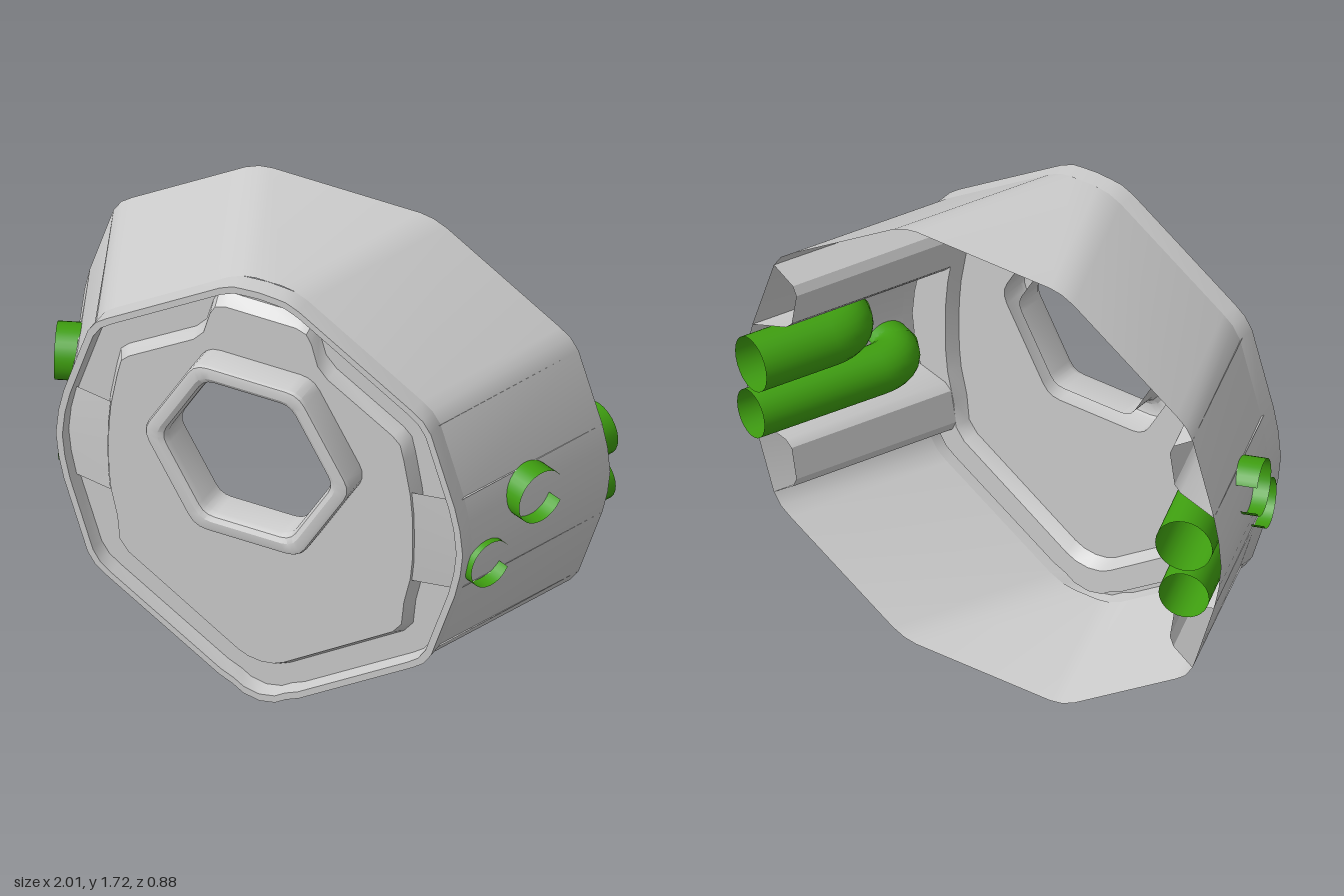
import * as THREE from 'three';
import { toCreasedNormals } from 'three/addons/utils/BufferGeometryUtils.js';

const grey = new THREE.MeshStandardMaterial({ color: 0xcccccc, side: THREE.DoubleSide });
const green = new THREE.MeshStandardMaterial({ color: 0x3f9f10, side: THREE.DoubleSide });

const BACK = -0.31, FRONT = 0.27, SLANT = 0.23, CY = 0.87;

function named(name, geometry, material = grey) {
  const mesh = new THREE.Mesh(geometry, material);
  mesh.name = name;
  return mesh;
}

// Skin through rings of [x, y, z] points
function loft(rings, closed = true, crease = 0.5) {
  const n = rings[0].length, index = [];
  for (let r = 0; r < rings.length - 1; r++) {
    for (let i = 0; i < (closed ? n : n - 1); i++) {
      const a = r * n + i, b = r * n + (i + 1) % n;
      index.push(a, b, b + n, a, b + n, a + n);
    }
  }
  const g = new THREE.BufferGeometry();
  g.setAttribute('position', new THREE.Float32BufferAttribute(rings.flat(2), 3));
  g.setIndex(index);
  return toCreasedNormals(g, crease);
}

// Right half (top to bottom) completed by its mirror image, running clockwise
const mirrored = half => [
  ...half,
  ...half.filter(p => p[0] > 0).reverse().map(([x, y]) => [-x, y]),
];
const at = (pts, z) => pts.map(([x, y]) => [x, y, z]);
const scaled = (pts, s, cy = CY) => pts.map(([x, y]) => [x * s, cy + (y - cy) * s]);
const shift = (pts, dx) => pts.map(([x, y]) => [x + dx, y]);

function flat(outer, hole, z) {
  const shape = new THREE.Shape(outer.map(p => new THREE.Vector2(...p)));
  shape.holes.push(new THREE.Path(hole.map(p => new THREE.Vector2(...p))));
  return new THREE.ShapeGeometry(shape).translate(0, 0, z);
}

// Flat-topped hexagon with softened corners
function hexagon(radius, cy) {
  const corner = k => new THREE.Vector2(Math.cos(k * Math.PI / 3), Math.sin(k * Math.PI / 3)).multiplyScalar(radius);
  const pts = [];
  for (let k = 0; k < 6; k++) {
    const c = corner(k), a = c.clone().lerp(corner(k - 1), 0.12), b = c.clone().lerp(corner(k + 1), 0.12);
    const curve = new THREE.QuadraticBezierCurve(a, c, b);
    for (const p of curve.getPoints(3)) pts.push([p.x, p.y + cy]);
  }
  return pts;
}

// Pipe lying along the slanted wall, with an elbow turned out through it
function pipe(name, y, radius, elbow, reach) {
  const group = new THREE.Group();
  group.name = name;
  const along = new THREE.Vector3(SLANT, 0, BACK - FRONT).normalize();
  const out = new THREE.Vector3(-along.z, 0, along.x);
  const corner = new THREE.Vector3(elbow[0], y, elbow[1]);
  const end = new THREE.Vector3(0.91, y, -0.4);
  const path = new THREE.CurvePath();
  const bendStart = corner.clone().addScaledVector(along, 0.12);
  const bendEnd = corner.clone().addScaledVector(out, 0.09);
  path.add(new THREE.LineCurve3(end, bendStart));
  path.add(new THREE.QuadraticBezierCurve3(bendStart, corner, bendEnd));
  group.add(named('bentPipe', new THREE.TubeGeometry(path, 40, radius, 24), green));

  // Split collar standing out of the wall, its gap towards the back
  const gap = 0.55;
  const collar = new THREE.CylinderGeometry(radius, radius, reach - 0.05, 28, 1, true, gap, 2 * Math.PI - 2 * gap);
  const basis = new THREE.Matrix4().makeBasis(new THREE.Vector3(0, 1, 0).cross(out).negate(), out, along);
  basis.makeBasis(new THREE.Vector3().crossVectors(out, along), out, along);
  basis.setPosition(corner.clone().addScaledVector(out, (reach + 0.05) / 2));
  collar.applyMatrix4(basis);
  group.add(named('splitCollar', collar, green));
  return group;
}

export function createModel() {
  const model = new THREE.Group();

  // Side wall: each half outline slides inwards towards the front
  const wall = [
    [0.28, 1.72], [0.33, 1.712], [0.38, 1.69], [0.81, 1.415], [0.85, 1.385], [0.88, 1.34],
    [0.97, 1.06], [0.99, 0.97], [1.0, 0.87], [0.99, 0.78], [0.97, 0.69],
    [0.88, 0.41], [0.85, 0.365], [0.81, 0.335], [0.38, 0.06], [0.33, 0.038], [0.28, 0.03],
  ];
  const frontWall = shift(wall, -SLANT);
  model.add(named('slantedWall', loft([at(mirrored(wall), BACK), at(mirrored(frontWall), FRONT)])));

  // Thin lip around the front
  const rim = mirrored([[0, 1.72], [0.06, 1.716], ...frontWall.slice(1, -1), [0.06, 0.012], [0, 0]]);
  const lip = scaled(rim, 0.968);
  model.add(named('frontRim', loft([at(rim, FRONT), at(rim, 0.34), at(lip, 0.34), at(scaled(lip, 0.992), 0.285)])));

  // Raised front panel with a bump at the top
  const arc = [[0.59, 1.06], [0.598, 0.97], [0.6, 0.87], [0.598, 0.77], [0.59, 0.69]];
  const panel = mirrored([
    [0, 1.64], [0.14, 1.64], [0.18, 1.625], [0.2, 1.59], [0.225, 1.5], [0.265, 1.455],
    [0.52, 1.295], [0.55, 1.265], [0.565, 1.2], ...arc,
    [0.565, 0.58], [0.555, 0.48], [0.52, 0.435], [0.09, 0.155], [0.05, 0.137], [0, 0.13],
  ]);
  const panelTop = scaled(panel, 0.96);
  const boss = hexagon(0.398, 1.075);
  model.add(named('rimChannel', flat(scaled(lip, 0.992), panel, 0.285)));
  model.add(named('panelStep', loft([at(panel, 0.285), at(panelTop, 0.33)])));
  model.add(named('frontPanel', flat(panelTop, boss, 0.33)));

  // Hexagonal boss around the opening
  const hex = s => scaled(boss, s, 1.075);
  model.add(named('hexBoss', loft([
    at(boss, 0.33), at(boss, 0.425), at(hex(0.985), 0.436), at(hex(0.95), 0.44),
    at(hex(0.87), 0.44), at(hex(0.82), 0.43), at(hex(0.795), 0.41), at(hex(0.795), 0.31),
  ])));

  // Bars, pads and pipes on each side
  for (const s of [1, -1]) {
    const side = new THREE.Group();
    side.name = s > 0 ? 'leftSide' : 'rightSide';
    const bar = [[0.88, 1.34], [0.8, 1.285], [0.785, 1.25], [0.805, 1.13], [0.83, 1.105], [0.97, 1.06]];
    const lowerBar = bar.map(([x, y]) => [x, 1.75 - y]);
    for (const [name, b] of [['upperBar', bar], ['lowerBar', lowerBar]]) {
      side.add(named(name, loft([at(b, BACK), at(shift(b, -SLANT), FRONT + 0.015)], false)));
    }
    const padOuter = frontWall.slice(6, 11).map(([x, y]) => [x - 0.025, y]);
    side.add(named('sidePad', loft([at(shift(arc, -0.02), 0.325), at(padOuter, 0.3)], false)));
    side.add(pipe('upperPipe', 0.97, 0.1, [0.76, -0.02], 0.17));
    side.add(pipe('lowerPipe', 0.768, 0.088, [0.685, 0.165], 0.14));
    side.scale.x = s;
    model.add(side);
  }
  return model;
}
